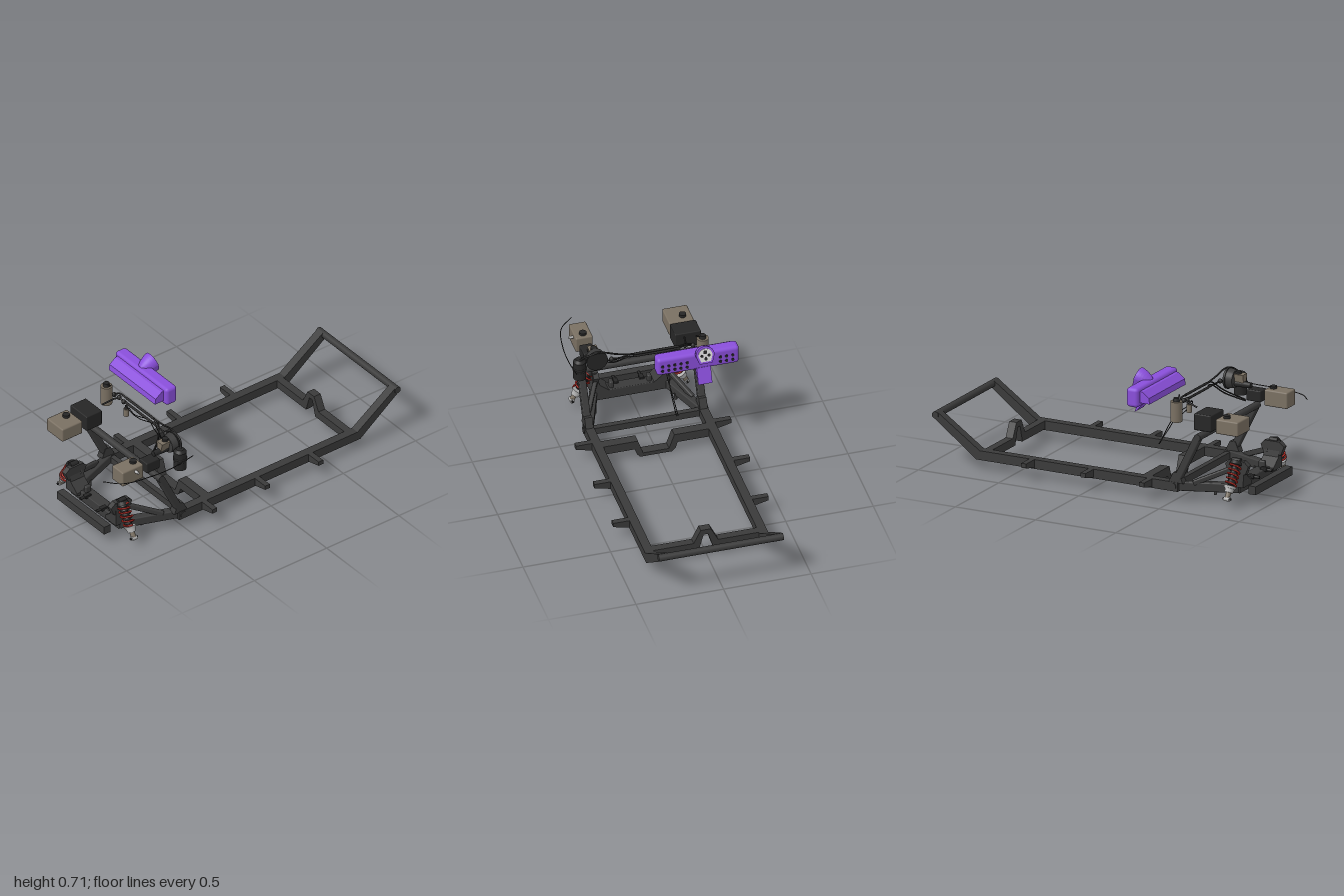
import * as THREE from 'three';
import { RoundedBoxGeometry } from 'three/addons/geometries/RoundedBoxGeometry.js';

const mat = (name, color) => {
  const m = new THREE.MeshStandardMaterial({ color });
  m.name = name;
  return m;
};

export function createModel() {
  const steel = mat('dark steel', 0x3a3a3a), black = mat('black plastic', 0x262626), beige = mat('beige plastic', 0x7a7062);
  const purple = mat('purple dash', 0x8a4fdb), red = mat('red spring', 0xb82a22), silver = mat('silver metal', 0xb4b4b4);
  const pale = mat('gauge face', 0xd6d6d6);
  const root = new THREE.Group();
  root.name = 'chassis';
  const C = 0.011; // centre line of the frame
  const V = (p) => new THREE.Vector3(...p);

  const add = (name, geo, material, pos = [0, 0, 0], parent = root) => {
    const m = new THREE.Mesh(geo, material);
    m.name = name;
    m.position.set(...pos);
    parent.add(m);
    return m;
  };
  const group = (name, parent = root) => {
    const g = new THREE.Group();
    g.name = name;
    parent.add(g);
    return g;
  };
  // box from min and max corners, optionally rounded
  const box = (name, a, b, material, r = 0, parent = root) => {
    const s = a.map((v, i) => b[i] - v), c = a.map((v, i) => (v + b[i]) / 2);
    return add(name, r ? new RoundedBoxGeometry(...s, 2, r) : new THREE.BoxGeometry(...s), material, c, parent);
  };
  const cyl = (name, r1, r2, h, material, pos, axis = 'y', parent = root) => {
    const g = new THREE.CylinderGeometry(r1, r2, h, 24);
    if (axis === 'z') g.rotateX(Math.PI / 2);
    if (axis === 'x') g.rotateZ(Math.PI / 2);
    return add(name, g, material, pos, parent);
  };
  // square beam between two points
  const beam = (name, a, b, w, h) => {
    const A = V(a), B = V(b);
    const m = add(name, new RoundedBoxGeometry(w, h, A.distanceTo(B), 2, 0.007), steel);
    m.position.copy(A).add(B).multiplyScalar(0.5);
    m.lookAt(B);
    return m;
  };
  const shape = (pts) => new THREE.Shape(pts.map((p) => new THREE.Vector2(...p)));
  // front profile (x, y) extruded between z0 and z1
  const frontCut = (name, pts, z0, z1, material = steel, parent = root) =>
    add(name, new THREE.ExtrudeGeometry(shape(pts), { depth: z1 - z0, bevelEnabled: false }), material, [0, 0, z0], parent);
  // side profile (z, y) extruded between x0 and x1
  const sideCut = (name, pts, x0, x1, material = steel, parent = root) => {
    const g = new THREE.ExtrudeGeometry(shape(pts), { depth: x1 - x0, bevelEnabled: false });
    return add(name, g.rotateY(-Math.PI / 2), material, [x1, 0, 0], parent);
  };
  const tube = (name, pts, r, material = black) =>
    add(name, new THREE.TubeGeometry(new THREE.CatmullRomCurve3(pts.map(V)), 40, r, 8), material);

  // ladder frame sides
  for (const s of [-1, 1]) {
    const X = (o) => C + s * o;
    sideCut('sideRail', [[0.53, 0.062], [-0.725, 0.062], [-0.99, 0.262], [-0.968, 0.298], [-0.705, 0.115], [0.53, 0.115]],
      X(0.326) - 0.025, X(0.326) + 0.025);
    beam('hoopPost', [X(0.328), 0.08, 0.495], [X(0.328), 0.385, 0.645], 0.042, 0.042);
    cyl('postBolt', 0.02, 0.02, 0.06, steel, [X(0.326), 0.09, 0.5], 'x');
    sideCut('postGusset', [[0.56, 0.11], [0.47, 0.11], [0.5, 0.17], [0.535, 0.17]], X(0.326) - 0.022, X(0.326) + 0.022);
    beam('frontRail', [X(0.322), 0.09, 0.5], [X(0.2), 0.09, 0.83], 0.045, 0.053);
    beam('towerBrace', [X(0.3), 0.11, 0.6], [X(0.195), 0.2, 0.8], 0.025, 0.03);
    for (const z of [-0.38, -0.01, 0.355])
      frontCut('outrigger', [[X(0.34), 0.064], [X(0.444), 0.09], [X(0.444), 0.115], [X(0.34), 0.115]], z - 0.016, z + 0.016);
    cyl('bodyMount', 0.009, 0.009, 0.04, steel, [X(0.23), 0.06, 0.7]);

    // shock towers and engine mounts
    frontCut('shockTower', [[X(0.225), 0.1], [X(0.222), 0.245], [X(0.2), 0.25], [X(0.182), 0.165], [X(0.125), 0.118], [X(0.125), 0.1]], 0.775, 0.87);
    sideCut('towerCap', [[0.9, 0.225], [0.87, 0.25], [0.78, 0.25], [0.755, 0.225], [0.775, 0.175], [0.88, 0.175]],
      X(0.205) - 0.016, X(0.205) + 0.016);
    box('enginePost', [X(0.108) - 0.012, 0.1, 0.79], [X(0.108) + 0.012, 0.16, 0.83], steel, 0.008);
    box('engineMount', [X(0.073) - 0.014, 0.112, 0.82], [X(0.073) + 0.014, 0.133, 0.86], black, 0.004);
    cyl('mountBolt', 0.008, 0.008, 0.04, black, [X(0.073), 0.122, 0.87], 'z');

    // coil-over shock, built along its own axis
    const shock = group('shock');
    shock.position.set(X(0.328), 0.06, 0.825);
    shock.rotation.z = s * 0.536;
    cyl('damperBody', 0.017, 0.017, 0.13, black, [0, 0.145, 0], 'y', shock);
    for (let i = 0; i < 5; i++) cyl('bumpRing', 0.022, 0.028, 0.012, black, [0, 0.095 + i * 0.024, 0], 'y', shock);
    class Helix extends THREE.Curve {
      getPoint(t, v = new THREE.Vector3()) {
        const a = t * Math.PI * 10;
        return v.set(Math.cos(a) * 0.031, 0.075 + t * 0.125, Math.sin(a) * 0.031);
      }
    }
    add('coilSpring', new THREE.TubeGeometry(new Helix(), 120, 0.0052, 8), red, [0, 0, 0], shock);
    cyl('upperSeat', 0.03, 0.036, 0.022, black, [0, 0.206, 0], 'y', shock);
    cyl('topEye', 0.016, 0.016, 0.05, black, [0, 0.22, 0], 'z', shock);
    cyl('lowerSeat', 0.036, 0.03, 0.014, silver, [0, 0.064, 0], 'y', shock);
    cyl('lowerCollar', 0.027, 0.022, 0.022, silver, [0, 0.046, 0], 'y', shock);
    cyl('lowerRod', 0.014, 0.014, 0.035, beige, [0, 0.022, 0], 'y', shock);
    cyl('bottomEye', 0.013, 0.013, 0.034, silver, [0, 0, 0], 'z', shock);
    cyl('bottomBolt', 0.006, 0.006, 0.05, black, [0, 0, 0], 'z', shock);
  }

  // crossmembers
  cyl('rearBar', 0.02, 0.02, 0.712, steel, [C, 0.28, -0.98], 'x');
  cyl('hoopBar', 0.02, 0.02, 0.7, steel, [C, 0.39, 0.65], 'x');
  box('midCrossbar', [-0.3, 0.068, 0.475], [0.32, 0.108, 0.505], steel);
  frontCut('humpCrossmember', [[-0.3, 0.068], [-0.03, 0.068], [0, 0.165], [0.025, 0.165], [0.052, 0.068], [0.32, 0.068], [0.32, 0.115],
    [0.082, 0.115], [0.042, 0.196], [-0.017, 0.196], [-0.058, 0.115], [-0.3, 0.115]], -0.695, -0.65);
  frontCut('dropCrossmember', [[-0.3, 0.062], [-0.112, 0.062], [-0.1, 0.025], [-0.08, 0.005], [0.102, 0.005], [0.12, 0.025], [0.134, 0.062], [0.32, 0.062],
    [0.32, 0.115], [0.115, 0.115], [0.085, 0.028], [-0.063, 0.028], [-0.093, 0.115], [-0.3, 0.115]], 0.29, 0.345);
  box('frontCrossmember', [-0.205, 0.062, 0.775], [0.227, 0.122, 0.845], steel, 0.005);
  box('bumperBar', [-0.203, 0.067, 0.897], [0.223, 0.115, 0.942], steel);

  // battery side of the bay
  box('washerTank', [-0.342, 0.432, 0.765], [-0.2, 0.515, 0.905], beige, 0.008);
  cyl('washerCap', 0.02, 0.02, 0.018, black, [-0.29, 0.522, 0.81]);
  box('battery', [-0.345, 0.435, 0.632], [-0.197, 0.53, 0.74], black, 0.006);
  cyl('coolantCanister', 0.033, 0.033, 0.115, beige, [-0.318, 0.518, 0.51]);
  cyl('canisterCap', 0.016, 0.02, 0.02, black, [-0.318, 0.585, 0.51]);
  tube('canisterHose', [[-0.318, 0.59, 0.51], [-0.3, 0.587, 0.51], [-0.288, 0.592, 0.51], [-0.275, 0.6, 0.505]], 0.004);
  cyl('smallFilter', 0.015, 0.015, 0.046, beige, [-0.152, 0.488, 0.5]);
  cyl('filterCap', 0.007, 0.01, 0.02, black, [-0.152, 0.52, 0.5]);
  for (const [x, y] of [[-0.26, 0.543], [-0.215, 0.55], [-0.175, 0.543], [0.205, 0.545]])
    add('hoseFitting', new THREE.IcosahedronGeometry(0.014, 1), black, [x, y, 0.5]);

  // brake side of the bay
  box('fluidTank', [0.237, 0.432, 0.755], [0.335, 0.525, 0.9], beige, 0.008);
  cyl('fluidCap', 0.02, 0.02, 0.018, black, [0.285, 0.53, 0.79]);
  cyl('tankNozzle', 0.008, 0.008, 0.03, silver, [0.345, 0.5, 0.81], 'x');
  box('pumpBlock', [0.255, 0.44, 0.635], [0.325, 0.505, 0.725], black, 0.006);
  cyl('brakeBooster', 0.05, 0.058, 0.05, steel, [0.285, 0.543, 0.53], 'z');
  cyl('boosterRim', 0.061, 0.061, 0.012, black, [0.285, 0.543, 0.51], 'z');
  cyl('masterCylinder', 0.016, 0.02, 0.1, black, [0.285, 0.52, 0.6], 'z');
  frontCut('brakeReservoir', [[0.272, 0.525], [0.302, 0.525], [0.314, 0.577], [0.262, 0.577]], 0.53, 0.61, beige);
  cyl('reservoirCap', 0.018, 0.018, 0.016, black, [0.287, 0.583, 0.57]);
  cyl('vacuumCanister', 0.036, 0.036, 0.11, black, [0.377, 0.485, 0.535]);
  cyl('vacuumCanisterTop', 0.022, 0.036, 0.016, black, [0.377, 0.548, 0.535]);

  // hoses and wires
  for (const [y, z] of [[0.565, 0.485], [0.543, 0.495]])
    add('hoseSleeve', new THREE.CylinderGeometry(0.007, 0.007, 0.25, 12).rotateZ(Math.PI / 2), black, [-0.045, y, z]);
  tube('upperHose', [[-0.26, 0.543, 0.51], [-0.23, 0.565, 0.49], [-0.17, 0.565, 0.485], [0.08, 0.565, 0.485], [0.17, 0.578, 0.49],
    [0.27, 0.602, 0.5], [0.35, 0.58, 0.51], [0.377, 0.55, 0.53]], 0.005);
  tube('lowerHose', [[-0.24, 0.53, 0.6], [-0.215, 0.55, 0.51], [-0.17, 0.543, 0.495], [0.08, 0.543, 0.495], [0.205, 0.545, 0.5]], 0.005);
  for (const d of [0, 0.015])
    tube('brakeLine', [[0.08, 0.565 - d, 0.487], [0.125, 0.56 - d, 0.49], [0.18, 0.505 - d, 0.54], [0.24, 0.45 - d / 2, 0.64]], 0.004);
  tube('firstWire', [[-0.152, 0.53, 0.5], [-0.115, 0.51, 0.5], [-0.105, 0.44, 0.44], [-0.09, 0.38, 0.36], [-0.105, 0.24, 0.29]], 0.0025);
  tube('secondWire', [[-0.13, 0.53, 0.5], [-0.095, 0.5, 0.49], [-0.085, 0.43, 0.4], [-0.1, 0.34, 0.35], [-0.115, 0.24, 0.29]], 0.0025);
  tube('sideWire', [[0.41, 0.5, 0.47], [0.415, 0.485, 0.6], [0.41, 0.485, 0.75], [0.37, 0.485, 0.92], [0.29, 0.487, 1]], 0.0025);
  for (const y of [0.485, 0.5])
    add('canisterStrap', new THREE.TorusGeometry(0.037, 0.003, 6, 24).rotateX(Math.PI / 2), steel, [0.377, y, 0.535]);

  // dashboard
  const dash = group('dashboard');
  box('dashShell', [-0.46, 0.546, 0.27], [0.01, 0.657, 0.345], purple, 0.02, dash);
  sideCut('dashFront', [[0.33, 0.64], [0.36, 0.636], [0.4, 0.605], [0.405, 0.572], [0.33, 0.572]], -0.433, -0.017, purple, dash);
  sideCut('columnShroud', [[0.32, 0.56], [0.27, 0.56], [0.237, 0.468], [0.25, 0.475]], -0.295, -0.215, purple, dash);
  for (const x of [-0.42, -0.385, -0.35, -0.16, -0.125, -0.09, -0.055, -0.02])
    for (const y of [0.58, 0.61])
      cyl('switch', 0.008, 0.008, 0.008, black, [x, y, 0.268], 'z', dash);

  // gauge pod: horseshoe outline that narrows toward the front
  const arch = (r, drop) => {
    const s = new THREE.Shape();
    s.moveTo(-r * 0.7, -drop);
    s.lineTo(r * 0.7, -drop);
    s.lineTo(r, 0);
    s.absarc(0, 0, r, 0, Math.PI, false);
    s.closePath();
    return s;
  };
  const pod = group('gaugePod', dash);
  pod.position.set(-0.255, 0.662, 0.238);
  pod.rotation.x = 0.34;
  const shell = new THREE.ExtrudeGeometry(arch(0.053, 0.047), { depth: 0.085, steps: 6, bevelEnabled: false, curveSegments: 20 });
  const p = shell.attributes.position;
  for (let i = 0; i < p.count; i++) {
    const k = 1 - 0.5 * Math.pow(p.getZ(i) / 0.085, 2);
    p.setXY(i, p.getX(i) * k, p.getY(i) * k);
  }
  shell.computeVertexNormals();
  add('podShell', shell, purple, [0, 0, 0], pod);
  add('gaugePlate', new THREE.ExtrudeGeometry(arch(0.04, 0.035), { depth: 0.005, bevelEnabled: false }), pale, [0, 0, -0.004], pod);
  for (const [x, y, r] of [[0, 0.02, 0.01], [-0.02, 0, 0.008], [0.02, 0, 0.008], [0, -0.018, 0.009]])
    cyl('dial', r, r, 0.006, black, [x, y, -0.004], 'z', pod);

  return root;
}
